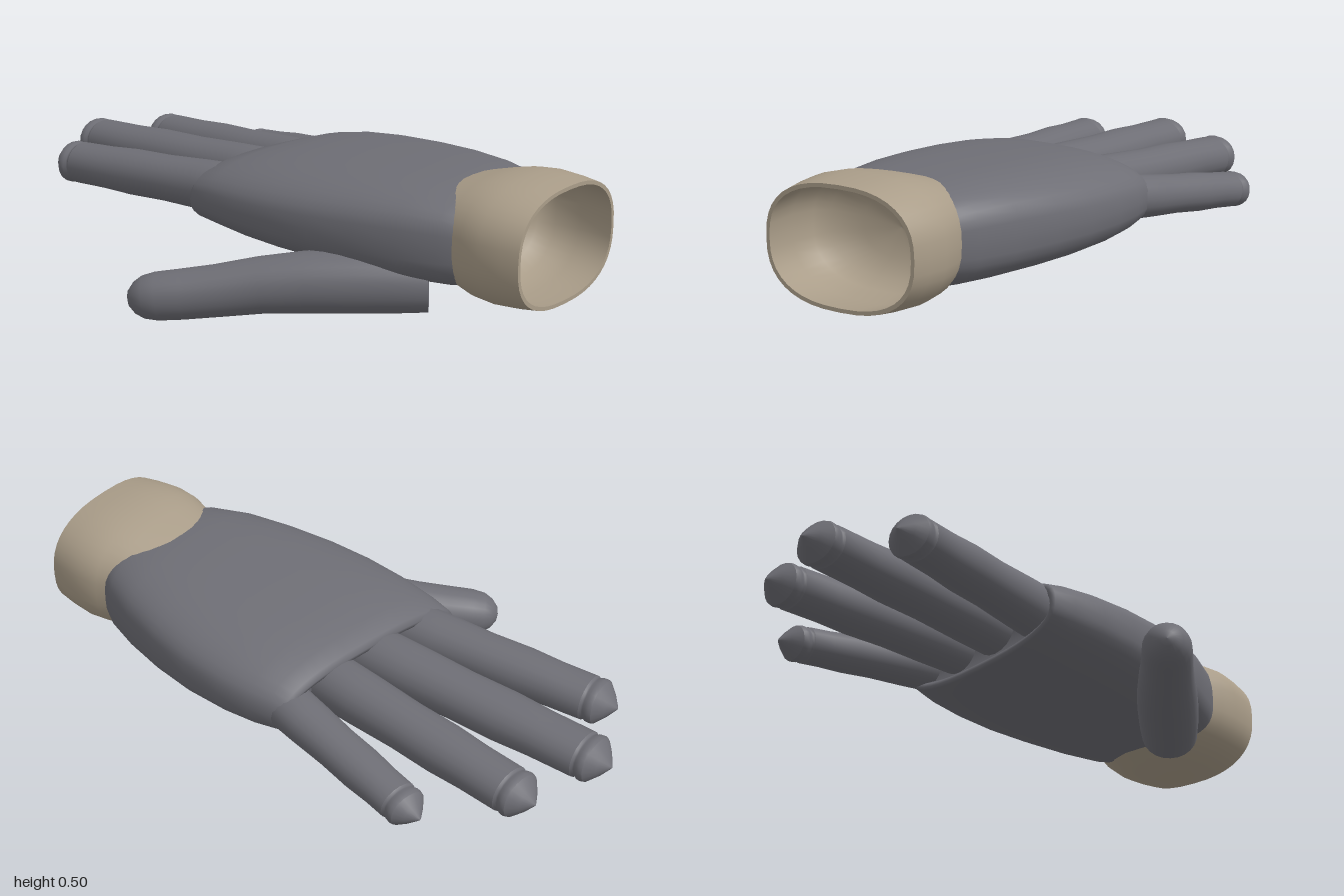
import * as THREE from 'three';

const gloveGrey = new THREE.MeshStandardMaterial({ name: 'glove grey', color: 0x6e6e75 });
const cuffTan = new THREE.MeshStandardMaterial({ name: 'cuff tan', color: 0xaa9d89 });

const V = (x, y, z) => new THREE.Vector3(x, y, z);
const power = (v, e) => Math.sign(v) * Math.abs(v) ** e;

// Rounded-rectangle or oval ring of points around a centre
function ring(c, u, v, ru, rv, n, sides) {
  return Array.from({ length: sides }, (_, j) => {
    const a = (j / sides) * Math.PI * 2;
    return c.clone()
      .addScaledVector(u, ru * power(Math.cos(a), 2 / n))
      .addScaledVector(v, rv * power(Math.sin(a), 2 / n));
  });
}

// Skin over rings; a repeated ring leaves a sharp edge
function loft(name, rings, material) {
  const n = rings[0].length, index = [];
  for (let i = 0; i < rings.length - 1; i++) {
    for (let j = 0; j < n; j++) {
      const k = (j + 1) % n, a = i * n, b = a + n;
      index.push(a + j, b + j, a + k, a + k, b + j, b + k);
    }
  }
  const g = new THREE.BufferGeometry().setFromPoints(rings.flat());
  g.setIndex(index);
  g.computeVertexNormals();
  const mesh = new THREE.Mesh(g, material);
  mesh.name = name;
  return mesh;
}

const X = V(1, 0, 0), Y = V(0, 1, 0);

// Hand sections: z, left x, right x, bottom y, top y, exponent, slant of the knuckle line
function makePalm() {
  const sections = [
    [0.775, -0.125, 0.385, 0.165, 0.445, 3, 0],
    [0.72, -0.155, 0.42, 0.155, 0.46, 3, 0],
    [0.6, -0.198, 0.468, 0.153, 0.468, 3, 0],
    [0.45, -0.23, 0.512, 0.153, 0.468, 2.9, 0],
    [0.3, -0.25, 0.54, 0.153, 0.463, 2.8, 0],
    [0.15, -0.256, 0.55, 0.155, 0.456, 2.7, 0],
    [0.02, -0.248, 0.545, 0.16, 0.446, 2.6, 0.04],
    [-0.08, -0.228, 0.532, 0.17, 0.43, 2.6, 0.12],
    [-0.145, -0.212, 0.52, 0.178, 0.41, 2.6, 0.17],
    [-0.158, -0.205, 0.515, 0.184, 0.394, 2.6, 0.17],
    [-0.15, -0.19, 0.5, 0.2, 0.375, 2.6, 0.17],
    [-0.12, -0.17, 0.48, 0.22, 0.36, 2.6, 0.17],
    [-0.12, 0.154, 0.156, 0.289, 0.291, 2, 0.17],
  ];
  const rings = sections.map(([z, x0, x1, y0, y1, n, slant]) => {
    const r = ring(V((x0 + x1) / 2, (y0 + y1) / 2, z), X, Y, (x1 - x0) / 2, (y1 - y0) / 2, n, 40);
    r.forEach(p => { p.z += slant * (p.x - 0.13); });
    return r;
  });
  return loft('palm', rings, gloveGrey);
}

// Hollow cuff: inner bottom, inner wall, rim, outer wall (z, half width, half height)
function makeCuff() {
  const rings = [
    [0.7, 0.001, 0.001], [0.71, 0.13, 0.09], [0.75, 0.225, 0.145],
    [0.8, 0.25, 0.17], [0.88, 0.264, 0.182], [1, 0.25, 0.173], [1, 0.25, 0.173],
    [1, 0.262, 0.185], [1, 0.262, 0.185], [0.94, 0.273, 0.192], [0.87, 0.28, 0.196],
    [0.8, 0.273, 0.19], [0.74, 0.25, 0.177], [0.65, 0.235, 0.152],
  ].map(([z, w, h]) => ring(V(0.127, 0.311, z), X, Y, w, h, 2.5, 40));
  return loft('cuff', rings, cuffTan);
}

// Tapered digit along a straight axis, closed by a profile of [distance from tip, radius factor]
function makeFinger(name, base, tip, [w0, h0], [w1, h1]) {
  const axis = tip.clone().sub(base), length = axis.length(), d = axis.normalize();
  const u = d.clone().cross(Y).normalize(), v = u.clone().cross(d);
  const profile = [
    [length, 0.001], [length, 0.9], [length - 0.02, 1], [length * 0.8, 1.0], [length * 0.6, 0.97],
    [length * 0.42, 1.02], [length * 0.28, 0.98], [0.1, 1], [0.1, 1],
    [0.094, 0.94], [0.088, 0.94], [0.08, 1], [0.068, 1.02], [0.058, 0.98], [0.058, 0.98],
    [0.03, 0.58], [0.008, 0.17], [0, 0.001],
  ];
  const rings = profile.map(([s, f]) => {
    const t = 1 - s / length;
    return ring(base.clone().addScaledVector(d, length - s), u, v,
      f * THREE.MathUtils.lerp(w0, w1, t), f * THREE.MathUtils.lerp(h0, h1, t), 2.1, 20);
  });
  return loft(name, rings, gloveGrey);
}

// Thumb follows a gently bent path with a flat root and a rounded tip
function makeThumb() {
  const path = new THREE.CatmullRomCurve3([
    V(-0.045, 0.155, 0.62), V(-0.17, 0.15, 0.44), V(-0.31, 0.135, 0.24),
    V(-0.45, 0.1, 0.05), V(-0.585, 0.075, -0.135),
  ]);
  const profile = [
    [0, 0.001], [0, 0.095], [0, 0.095], [0.12, 0.1], [0.25, 0.101], [0.4, 0.098], [0.55, 0.09],
    [0.7, 0.083], [0.82, 0.08], [0.9, 0.077], [0.945, 0.068], [0.975, 0.05], [0.995, 0.025], [1, 0.001],
  ];
  const rings = profile.map(([t, r]) => {
    const d = path.getTangentAt(t), u = d.clone().cross(Y).normalize();
    return ring(path.getPointAt(t), u, u.clone().cross(d), r, r * 0.98, 2.1, 24);
  });
  return loft('thumb', rings, gloveGrey);
}

export function createModel() {
  const hand = new THREE.Group();
  hand.name = 'hand';
  hand.add(makePalm(), makeCuff(), makeThumb());
  const fingers = [
    ['indexFinger', V(-0.085, 0.31, -0.09), V(-0.155, 0.29, -0.865), [0.091, 0.085], [0.076, 0.066]],
    ['middleFinger', V(0.1, 0.315, -0.09), V(0.098, 0.295, -1), [0.095, 0.087], [0.081, 0.066]],
    ['ringFinger', V(0.28, 0.31, -0.06), V(0.355, 0.275, -0.9), [0.09, 0.085], [0.078, 0.066]],
    ['littleFinger', V(0.445, 0.298, -0.03), V(0.567, 0.228, -0.64), [0.079, 0.07], [0.065, 0.055]],
  ];
  fingers.forEach(f => hand.add(makeFinger(...f)));
  return hand;
}
